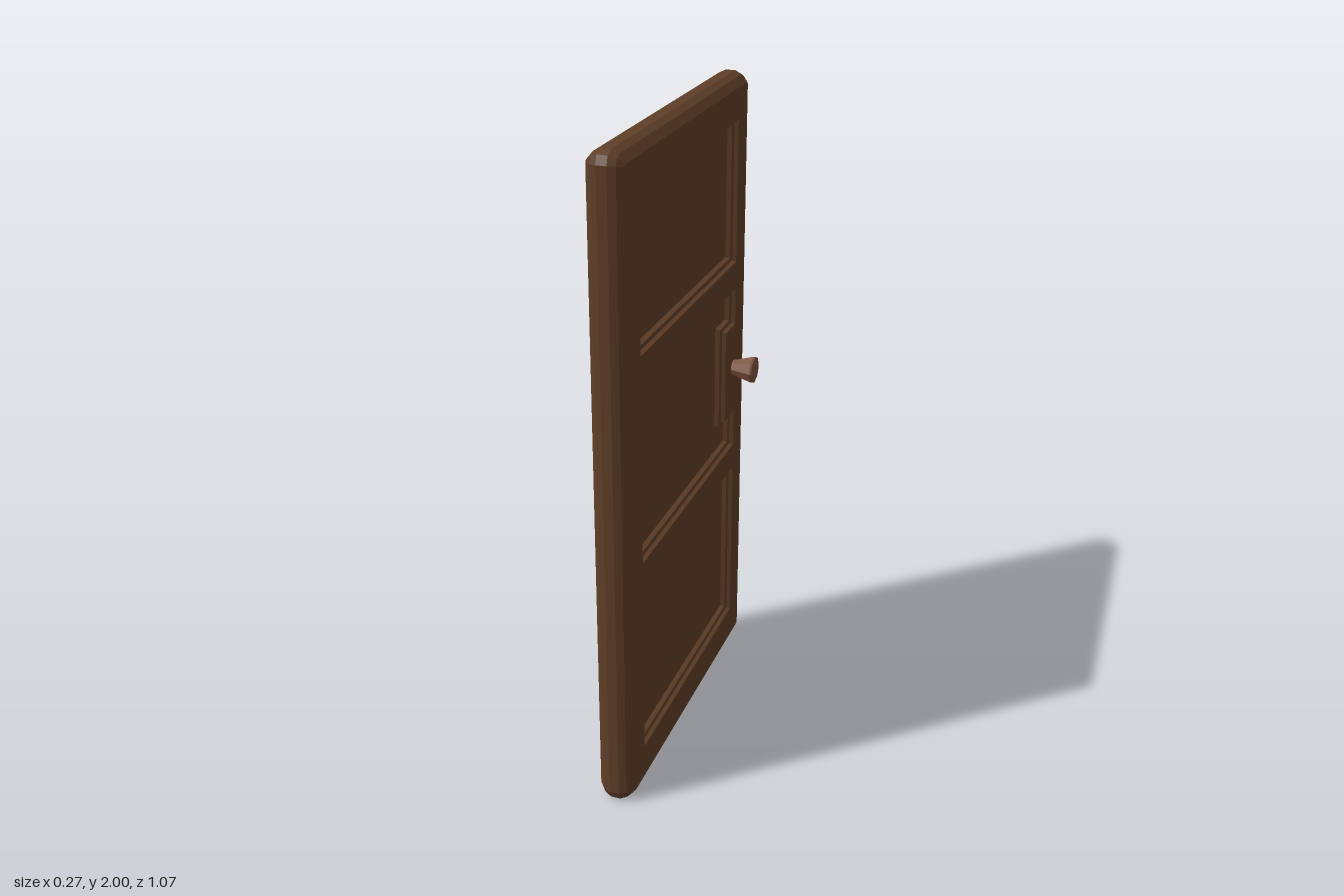
import * as THREE from 'three';

const wood = new THREE.MeshStandardMaterial({ color: 0x5e3e27, flatShading: true });
const knobWood = new THREE.MeshStandardMaterial({ color: 0x7a523b, flatShading: true });

const HALF = 0.055; // half thickness of the slab
// [inset, depth] profiles: rounded outer rim and stepped panel moulding
const RIM = [[0, 0], [0, 0.015], [0.01, 0.036], [0.032, HALF]];
const MOULDING = [[0, HALF], [0.004, 0.043], [0.014, 0.039], [0.018, 0.025]];

const rect = (w, y0, y1) => [[-w, y0], [w, y0], [w, y1], [-w, y1]];

// Counter-clockwise slab outline with rounded corners
function doorOutline() {
  const r = 0.035, pts = [];
  const centres = [[0.535 - r, r], [0.535 - r, 2 - r], [r - 0.535, 2 - r], [r - 0.535, r]];
  centres.forEach(([cx, cy], k) => {
    for (let i = 0; i < 3; i++) {
      const a = -Math.PI / 2 + k * Math.PI / 2 + i * Math.PI / 4;
      pts.push([cx + r * Math.cos(a), cy + r * Math.sin(a)]);
    }
  });
  return pts;
}

// Middle panel is notched around the knob plate
const PANELS = {
  lower: rect(0.418, 0.14, 0.695),
  middle: [[-0.418, 0.78], [0.418, 0.78], [0.418, 0.905], [0.325, 0.905],
    [0.325, 1.21], [0.418, 1.21], [0.418, 1.33], [-0.418, 1.33]],
  upper: rect(0.418, 1.42, 1.87),
};

// Mitred inset of a counter-clockwise polygon
function inset(pts, d) {
  const n = pts.length;
  const normal = (a, b) => {
    const dx = b[0] - a[0], dy = b[1] - a[1], l = Math.hypot(dx, dy);
    return [-dy / l, dx / l];
  };
  return pts.map((p, i) => {
    const n1 = normal(pts[(i + n - 1) % n], p), n2 = normal(p, pts[(i + 1) % n]);
    const k = d / (1 + n1[0] * n2[0] + n1[1] * n2[1]);
    return [p[0] + k * (n1[0] + n2[0]), p[1] + k * (n1[1] + n2[1])];
  });
}

// Band of quads following an inset/depth profile around an outline
function band(pts, profile) {
  const loops = profile.map(([d, z]) => inset(pts, d).map(([x, y]) => [x, y, z]));
  const pos = [], n = pts.length;
  for (let k = 0; k + 1 < loops.length; k++) {
    for (let i = 0; i < n; i++) {
      const j = (i + 1) % n, A = loops[k], B = loops[k + 1];
      pos.push(...A[i], ...A[j], ...B[j], ...A[i], ...B[j], ...B[i]);
    }
  }
  const g = new THREE.BufferGeometry();
  g.setAttribute('position', new THREE.Float32BufferAttribute(pos, 3));
  g.computeVertexNormals();
  return g;
}

const toVectors = (pts) => pts.map(([x, y]) => new THREE.Vector2(x, y));

function flat(pts, z, holes = []) {
  const shape = new THREE.Shape(toVectors(pts));
  shape.holes = holes.map((h) => new THREE.Path(toVectors(h)));
  return new THREE.ShapeGeometry(shape).translate(0, 0, z);
}

function createSide(s) {
  const side = new THREE.Group();
  side.name = s > 0 ? 'leftSide' : 'rightSide';
  const add = (name, geometry) => {
    const mesh = new THREE.Mesh(geometry.rotateY(s * Math.PI / 2), wood);
    mesh.name = name;
    side.add(mesh);
  };
  // Mirror an outline for the other side, keeping it counter-clockwise
  const mirror = (pts) => (s > 0 ? pts : pts.map(([x, y]) => [-x, y]).reverse());

  const outline = mirror(doorOutline());
  const holes = Object.values(PANELS).map(mirror);
  add('doorRim', band(outline, RIM));
  add('doorFrame', flat(inset(outline, 0.032), HALF, holes));

  // Recessed panels with their mouldings
  Object.keys(PANELS).forEach((name, i) => {
    const [depthInset, depth] = MOULDING[MOULDING.length - 1];
    add(name + 'Moulding', band(holes[i], MOULDING));
    add(name + 'Panel', flat(inset(holes[i], depthInset), depth));
  });

  // Flared eight-sided knob
  const profile = [[0.022, 0.045], [0.026, 0.06], [0.045, 0.123], [0.043, 0.129], [0.028, 0.133], [0, 0.133]];
  const knob = new THREE.Mesh(
    new THREE.LatheGeometry(toVectors(profile), 8).rotateZ(-s * Math.PI / 2), knobWood);
  knob.name = 'knob';
  knob.position.set(0, 1.065, -0.405);
  side.add(knob);
  return side;
}

export function createModel() {
  const door = new THREE.Group();
  door.name = 'door';
  door.add(createSide(1), createSide(-1));
  return door;
}
